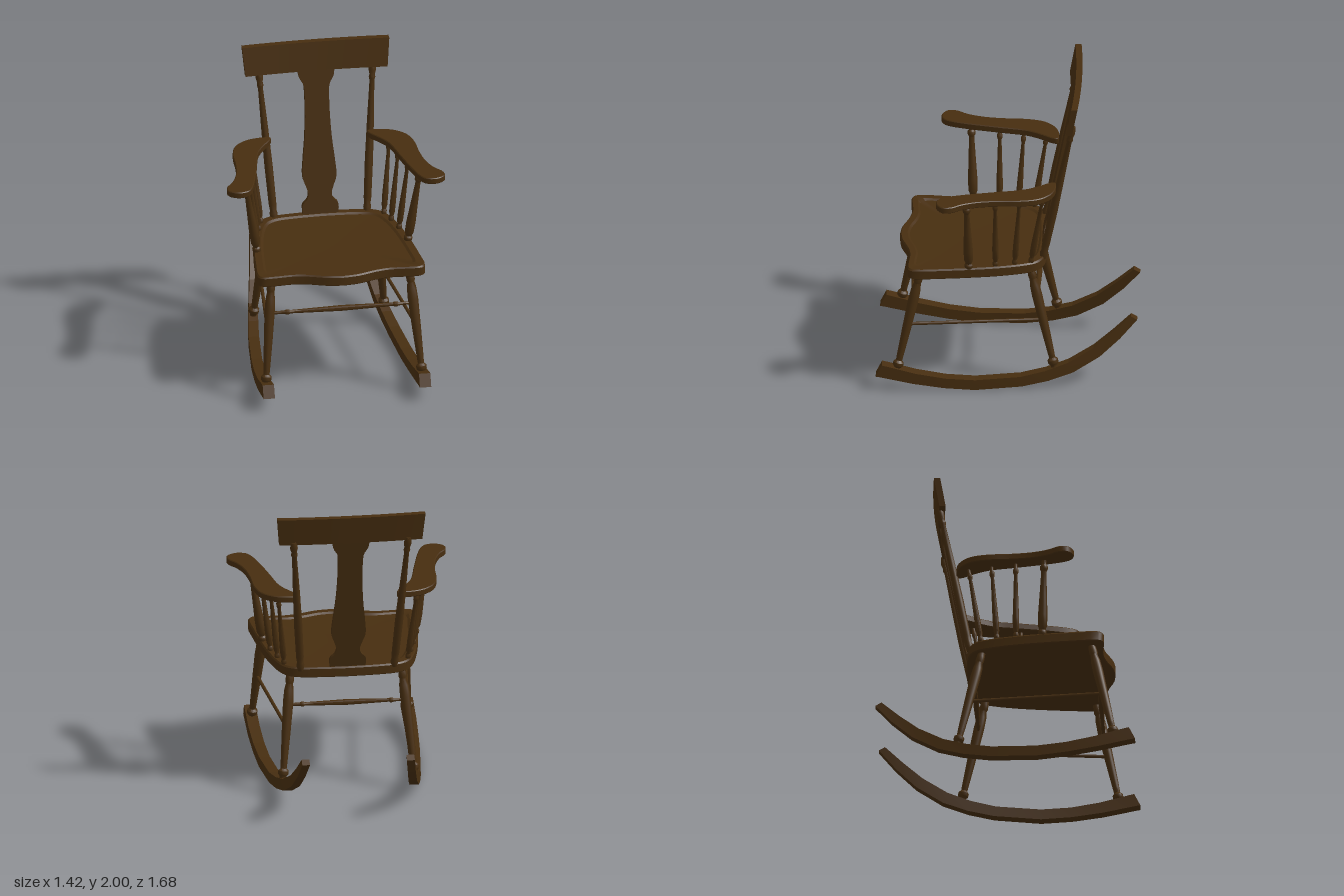
import * as THREE from 'three';
import { toCreasedNormals } from 'three/addons/utils/BufferGeometryUtils.js';

const V = (x, y, z) => new THREE.Vector3(x, y, z);

export function createModel() {
  const chair = new THREE.Group();
  chair.name = 'rockingChair';
  const wood = new THREE.MeshStandardMaterial({ color: 0x472e10 });
  wood.name = 'dark brown wood';

  const add = (name, geometry) => {
    const mesh = new THREE.Mesh(geometry, wood);
    mesh.name = name;
    chair.add(mesh);
    return mesh;
  };

  // Skin a list of equal-length rings and close both ends
  const loft = (rings, crease) => {
    const n = rings[0].length, pos = [], index = [];
    rings.forEach(r => r.forEach(p => pos.push(p.x, p.y, p.z)));
    for (let i = 0; i < rings.length - 1; i++) for (let j = 0; j < n; j++) {
      const a = i * n + j, b = i * n + (j + 1) % n;
      index.push(a, b, b + n, a, b + n, a + n);
    }
    [0, rings.length - 1].forEach((i, end) => {
      const c = rings[i].reduce((s, p) => s.add(p), V(0, 0, 0)).divideScalar(n);
      const k = pos.length / 3;
      pos.push(c.x, c.y, c.z);
      for (let j = 0; j < n; j++) {
        const a = i * n + j, b = i * n + (j + 1) % n;
        index.push(k, end ? a : b, end ? b : a);
      }
    });
    const g = new THREE.BufferGeometry();
    g.setAttribute('position', new THREE.Float32BufferAttribute(pos, 3));
    g.setIndex(index);
    return toCreasedNormals(g, crease);
  };

  // Lathe-turned stick between two points; profile is [fraction, radius]
  const turned = (name, from, to, profile, scale = 1) => {
    const dir = to.clone().sub(from), len = dir.length();
    const pts = profile.map(([t, r]) => new THREE.Vector2(r * scale, t * len));
    pts.unshift(new THREE.Vector2(0, 0));
    pts.push(new THREE.Vector2(0, len));
    const mesh = add(name, toCreasedNormals(new THREE.LatheGeometry(pts, 12), 0.7));
    mesh.position.copy(from);
    mesh.quaternion.setFromUnitVectors(V(0, 1, 0), dir.normalize());
  };

  const legProfile = [[0, 0.022], [0.06, 0.022], [0.08, 0.034], [0.11, 0.034], [0.13, 0.02],
    [0.18, 0.022], [0.45, 0.029], [0.72, 0.034], [0.82, 0.031], [0.88, 0.023], [0.9, 0.028], [0.94, 0.026], [1, 0.022]];
  const spindleProfile = [[0, 0.014], [0.04, 0.02], [0.07, 0.02], [0.09, 0.014], [0.14, 0.021],
    [0.28, 0.022], [0.55, 0.017], [0.84, 0.012], [0.87, 0.018], [0.91, 0.018], [0.93, 0.012], [1, 0.012]];
  const postProfile = [[0, 0.021], [0.04, 0.026], [0.06, 0.021], [0.1, 0.025], [0.35, 0.027],
    [0.6, 0.023], [0.88, 0.016], [0.9, 0.022], [0.92, 0.018], [0.95, 0.025], [0.98, 0.022], [1, 0.018]];
  const rungProfile = [[0, 0.01], [0.1, 0.011], [0.11, 0.016], [0.13, 0.016], [0.14, 0.011],
    [0.22, 0.013], [0.5, 0.019], [0.78, 0.013], [0.86, 0.011], [0.87, 0.016], [0.89, 0.016], [0.9, 0.011], [1, 0.01]];

  // Seat: outline from front centre round to back centre, mirrored, dished on top
  const half = new THREE.CatmullRomCurve3([
    [0, 0.697], [0.1, 0.685], [0.22, 0.645], [0.32, 0.628], [0.44, 0.635], [0.52, 0.632], [0.545, 0.6], [0.535, 0.42],
    [0.515, 0.24], [0.485, 0.05], [0.44, -0.12], [0.4, -0.195], [0.33, -0.237], [0.2, -0.255], [0, -0.263],
  ].map(([x, z]) => V(x, 0, z))).getPoints(42);
  const outline = [...half, ...half.slice(1, -1).reverse().map(p => V(-p.x, 0, p.z))];
  const seatRings = [[0.8, 0.985], [0.806, 1], [0.86, 1], [0.87, 0.985], [0.87, 0.9], [0.86, 0.87], [0.857, 0.5]]
    .map(([y, s]) => outline.map(p => V(p.x * s, y, 0.22 + (p.z - 0.22) * s)));
  add('seat', loft(seatRings, 0.5));

  // Rocker stations: z and y of the bottom, z and y of the top, x centre, half width
  const rocker = [
    [0.84, 0.1, 0.8, 0.18, 0.51, 0.037], [0.81, 0.095, 0.765, 0.172, 0.51, 0.037],
    [0.6, 0.05, 0.58, 0.122, 0.508, 0.037], [0.4, 0.018, 0.39, 0.086, 0.5, 0.036],
    [0.2, 0, 0.2, 0.07, 0.487, 0.035], [-0.1, 0.015, -0.09, 0.083, 0.458, 0.034],
    [-0.27, 0.045, -0.25, 0.115, 0.435, 0.032], [-0.43, 0.095, -0.4, 0.165, 0.41, 0.03],
    [-0.6, 0.195, -0.56, 0.257, 0.38, 0.028], [-0.73, 0.315, -0.685, 0.36, 0.358, 0.026],
    [-0.84, 0.442, -0.8, 0.465, 0.34, 0.025],
  ];

  const armOutline = [[0.315, -0.31], [0.4, -0.315], [0.485, -0.29], [0.56, -0.22], [0.593, -0.11], [0.6, 0.04],
    [0.62, 0.18], [0.66, 0.285], [0.705, 0.35], [0.705, 0.41], [0.645, 0.448], [0.58, 0.435], [0.55, 0.395],
    [0.515, 0.29], [0.465, 0.07], [0.425, -0.11], [0.375, -0.2], [0.325, -0.27]];

  // Arm spindles: bottom x and z, top x and z, thickness
  const spindles = [[0.49, 0.24, 0.57, 0.255, 1.4], [0.46, 0.07, 0.525, 0.07, 0.95],
    [0.43, -0.052, 0.485, -0.087, 0.9], [0.4, -0.155, 0.45, -0.237, 0.9]];

  for (const s of [1, -1]) {
    const side = s > 0 ? 'left' : 'right';

    add(side + 'Rocker', loft(rocker.map(([zb, yb, zt, yt, x, w]) => [
      V(s * x - w, yb, zb), V(s * x - w, yt, zt), V(s * x + w, yt, zt), V(s * x + w, yb, zb)]), 0.1));

    turned(side + 'FrontLeg', V(s * 0.512, 0.11, 0.71), V(s * 0.45, 0.82, 0.555), legProfile);
    turned(side + 'BackLeg', V(s * 0.43, 0.1, -0.315), V(s * 0.36, 0.82, -0.15), legProfile);
    turned(side + 'SideStretcher', V(s * 0.483, 0.452, 0.635), V(s * 0.393, 0.452, -0.235), [[0, 0.011], [1, 0.011]]);
    turned(side + 'BackPost', V(s * 0.303, 0.85, -0.23), V(s * 0.372, 1.83, -0.425), postProfile);

    // Flat curved armrest
    const curve = new THREE.CatmullRomCurve3(armOutline.map(([x, z]) => V(s * x, -z, 0)), true);
    const shape = new THREE.Shape(curve.getPoints(60).slice(0, -1).map(p => new THREE.Vector2(p.x, p.y)));
    const arm = new THREE.ExtrudeGeometry(shape, {
      depth: 0.032, bevelThickness: 0.005, bevelSize: 0.005, bevelOffset: -0.005, bevelSegments: 1 });
    arm.rotateX(-Math.PI / 2).translate(0, 1.364, 0);
    add(side + 'Armrest', toCreasedNormals(arm, 0.5));

    spindles.forEach(([xb, zb, xt, zt, k], i) =>
      turned(side + 'ArmSpindle' + (i + 1), V(s * xb, 0.855, zb), V(s * xt, 1.37, zt), spindleProfile, k));
  }

  // Cross stretchers between the legs
  turned('frontStretcher', V(-0.465, 0.597, 0.604), V(0.465, 0.597, 0.604), rungProfile);
  turned('backStretcher', V(-0.38, 0.597, -0.2), V(0.38, 0.597, -0.2), rungProfile);

  // Vase-shaped back splat, leaning back
  const edge = new THREE.CatmullRomCurve3([[0.115, 0.86], [0.116, 0.93], [0.085, 0.965], [0.076, 1.0], [0.09, 1.05],
    [0.11, 1.11], [0.104, 1.22], [0.09, 1.35], [0.081, 1.5], [0.08, 1.66], [0.086, 1.72], [0.113, 1.77], [0.12, 1.83],
  ].map(([x, y]) => V(x, y, 0))).getPoints(40);
  const splatShape = new THREE.Shape([...edge.map(p => new THREE.Vector2(p.x, p.y)),
    ...edge.reverse().map(p => new THREE.Vector2(-p.x, p.y))]);
  const splat = new THREE.ExtrudeGeometry(splatShape, { depth: 0.03, bevelEnabled: false });
  const sp = splat.attributes.position;
  for (let i = 0; i < sp.count; i++) sp.setZ(i, sp.getZ(i) - 0.25 - 0.195 * (sp.getY(i) - 0.87));
  add('backSplat', toCreasedNormals(splat, 0.5));

  // Crest rail: flared upward, leaning back, ends bent forward
  const crest = new THREE.BoxGeometry(0.96, 0.19, 0.04, 16, 1, 1);
  const cp = crest.attributes.position;
  for (let i = 0; i < cp.count; i++) {
    const x = cp.getX(i), t = cp.getY(i) / 0.19 + 0.5;
    cp.setXYZ(i, x * (0.965 + 0.035 * t), 1.81 + 0.19 * t, cp.getZ(i) - 0.42 - 0.035 * t + 0.017 * (x / 0.48) ** 2);
  }
  add('crestRail', toCreasedNormals(crest, 0.5));

  return chair;
}
